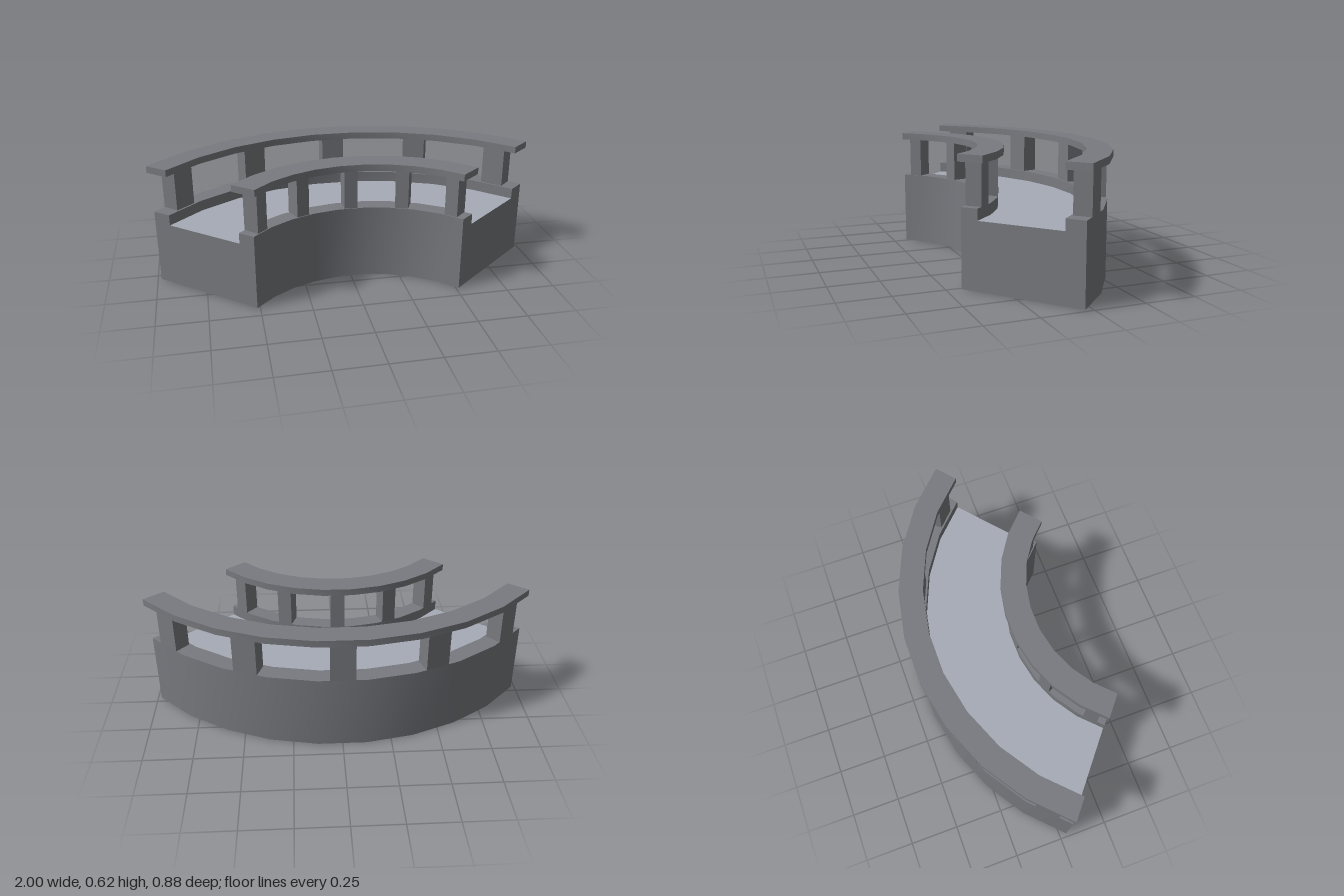
import * as THREE from 'three';
import { toCreasedNormals } from 'three/addons/utils/BufferGeometryUtils.js';

const HALF = THREE.MathUtils.degToRad(50); // half of the bridge's sweep
const SEGMENTS = 9;
const CENTRE_Z = 0.86; // centre of the curve
const CREASE = 0.5;

// Solid block between two radii and two angles
function sector(r0, r1, a0, a1, y0, y1, segments) {
  const points = [];
  const add = (r, a) => points.push(new THREE.Vector2(r * Math.sin(a), r * Math.cos(a)));
  for (let i = 0; i <= segments; i++) add(r1, a0 + (a1 - a0) * i / segments);
  for (let i = segments; i >= 0; i--) add(r0, a0 + (a1 - a0) * i / segments);
  const geometry = new THREE.ExtrudeGeometry(new THREE.Shape(points), { depth: y1 - y0, bevelEnabled: false });
  geometry.rotateX(-Math.PI / 2).translate(0, y0, CENTRE_Z);
  return toCreasedNormals(geometry, CREASE);
}

// Open sheet swept along the curve from a [radius, height] profile
function sweep(profile) {
  const positions = [];
  const add = ([r, y], a) => positions.push(r * Math.sin(a), y, CENTRE_Z - r * Math.cos(a));
  for (let i = 0; i < SEGMENTS; i++) {
    const a = HALF * (2 * i / SEGMENTS - 1);
    const b = HALF * (2 * (i + 1) / SEGMENTS - 1);
    for (let j = 0; j < profile.length - 1; j++) {
      const p = profile[j], q = profile[j + 1];
      add(p, a); add(q, b); add(q, a);
      add(p, a); add(p, b); add(q, b);
    }
  }
  const geometry = new THREE.BufferGeometry();
  geometry.setAttribute('position', new THREE.Float32BufferAttribute(positions, 3));
  return toCreasedNormals(geometry, CREASE);
}

export function createModel() {
  const group = new THREE.Group();
  const stone = new THREE.MeshStandardMaterial({ color: 0x797b80, side: THREE.DoubleSide });
  stone.name = 'grey stone';
  const paving = new THREE.MeshStandardMaterial({ color: 0xa6abb6, side: THREE.DoubleSide });
  paving.name = 'pale paving';

  function add(name, geometry, material = stone) {
    const mesh = new THREE.Mesh(geometry, material);
    mesh.name = name;
    group.add(mesh);
    return mesh;
  }

  // Hollow base: each wall folds over into a raised kerb, open underneath
  const floorY = 0.33, kerbY = 0.385;
  const innerWall = [[0.672, 0], [0.672, kerbY], [0.758, kerbY], [0.758, floorY]];
  const outerWall = [[1.186, floorY], [1.186, kerbY], [1.282, kerbY], [1.282, 0]];
  add('innerWall', sweep(innerWall));
  add('outerWall', sweep(outerWall));
  add('walkway', sweep([innerWall[3], outerWall[0]]), paving);

  // End walls following the section
  const section = new THREE.Shape([...innerWall, ...outerWall].map(([r, y]) => new THREE.Vector2(r, y)));
  const endWall = new THREE.ShapeGeometry(section);
  endWall.rotateY(Math.PI / 2 - HALF).translate(0, 0, CENTRE_Z);
  add('leftEndWall', endWall);
  add('rightEndWall', endWall).scale.x = -1;

  // Balustrades: five posts under a flat handrail on each side
  const sides = [
    { name: 'inner', rail: [0.656, 0.787], post: [0.675, 0.757] },
    { name: 'outer', rail: [1.181, 1.305], post: [1.192, 1.279] },
  ];
  const postHalf = THREE.MathUtils.degToRad(2.85);
  for (const { name, rail, post } of sides) {
    add(name + 'Handrail', sector(...rail, -HALF, HALF, 0.59, 0.625, SEGMENTS));
    for (let i = -2; i <= 2; i++) {
      const a = THREE.MathUtils.degToRad(21.95 * i);
      add(name + 'Post', sector(...post, a - postHalf, a + postHalf, kerbY, 0.59, 1));
    }
  }
  return group;
}
